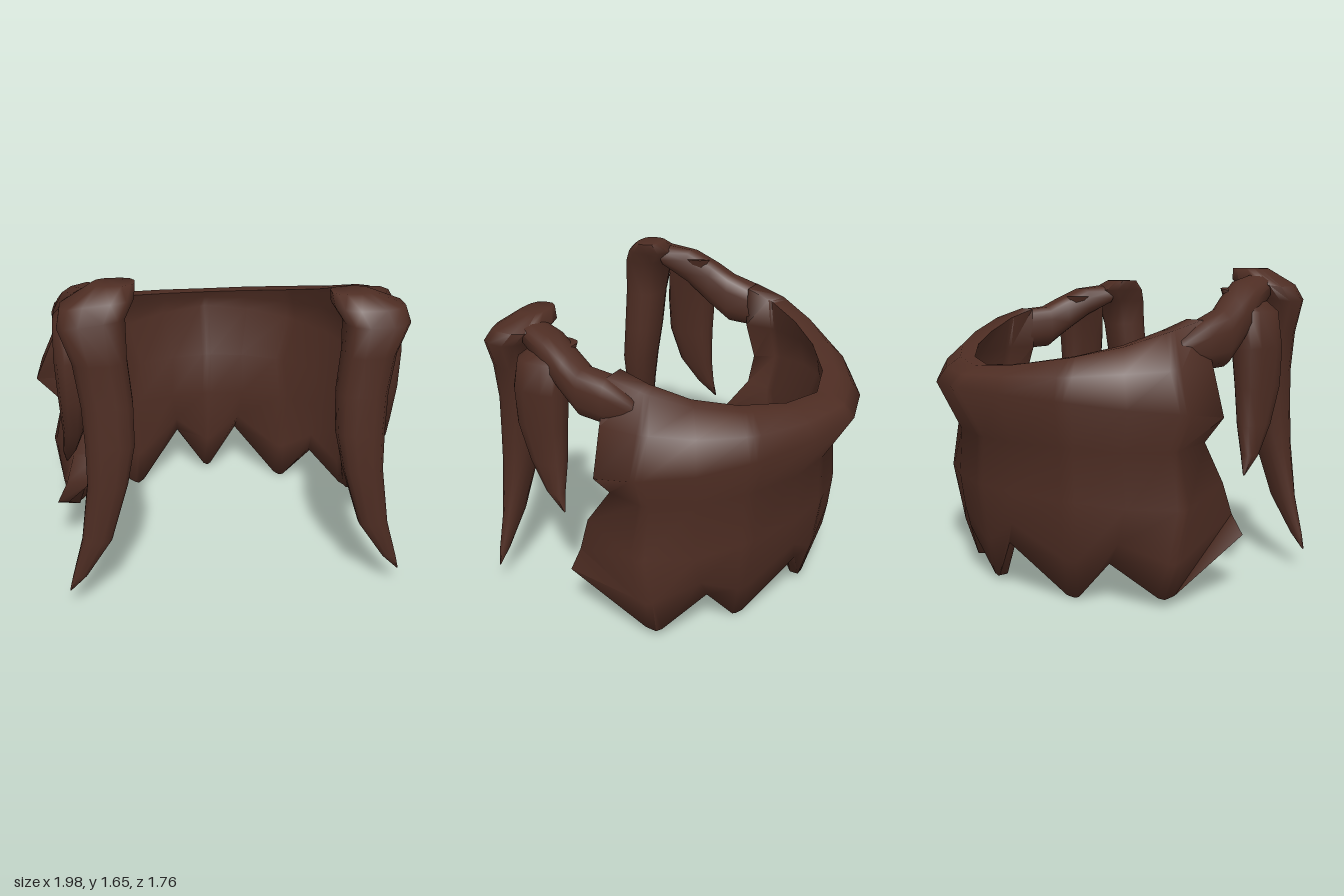
import * as THREE from 'three';
import { toCreasedNormals } from 'three/addons/utils/BufferGeometryUtils.js';

const { lerp, smoothstep } = THREE.MathUtils;
const brown = new THREE.MeshStandardMaterial({ color: 0x4e2d23 });
brown.name = 'dark brown hair';

// Closed solid through equal-length loops of [x, y, z]; ends are strip-capped.
function loft(rings, crease) {
  const n = rings[0].length, pos = rings.flat(2), idx = [];
  const quad = (a, b, c, d) => idx.push(a, b, c, a, c, d);
  for (let r = 0; r < rings.length - 1; r++)
    for (let i = 0; i < n; i++) {
      const k = (i + 1) % n;
      quad(r * n + i, r * n + k, (r + 1) * n + k, (r + 1) * n + i);
    }
  const last = (rings.length - 1) * n;
  for (let i = 0; i < n / 2 - 1; i++) {
    quad(n - 1 - i, n - 2 - i, i + 1, i);
    quad(last + i, last + i + 1, last + n - 2 - i, last + n - 1 - i);
  }
  // Turn the faces outward if the loops ran the other way.
  let volume = 0;
  const p = i => new THREE.Vector3().fromArray(pos, i * 3);
  for (let i = 0; i < idx.length; i += 3) volume += p(idx[i]).dot(p(idx[i + 1]).cross(p(idx[i + 2])));
  if (volume < 0) idx.reverse();
  const g = new THREE.BufferGeometry();
  g.setAttribute('position', new THREE.Float32BufferAttribute(pos, 3));
  g.setIndex(idx);
  return toCreasedNormals(g, crease);
}

function part(name, geometry) {
  const m = new THREE.Mesh(geometry, brown);
  m.name = name;
  return m;
}

// Half-shell guide points from the centre back to the front edge, one line per level.
const levels = [
  [[0, 1.17, -.74], [.26, 1.19, -.68], [.52, 1.235, -.52], [.7, 1.29, -.33], [.8, 1.36, -.12], [.82, 1.41, .07]],
  [[0, 1.13, -.82], [.29, 1.14, -.75], [.58, 1.15, -.59], [.78, 1.17, -.39], [.88, 1.18, -.15], [.89, 1.18, .08]],
  [[0, 1.07, -.88], [.31, 1.06, -.8], [.62, 1.04, -.63], [.84, 1.01, -.42], [.97, .98, -.16], [.99, .95, .06]],
  [[0, .8, -.72], [.26, .8, -.68], [.53, .8, -.55], [.74, .79, -.37], [.86, .78, -.13], [.86, .81, .06]],
  [[0, .55, -.73], [.27, .55, -.69], [.57, .54, -.57], [.8, .52, -.39], [.93, .5, -.13], [.81, .57, .24]],
  [[0, .03, -.62], [.2, .27, -.67], [.48, .01, -.46], [.66, .22, -.38], [.86, .05, -.19], [.91, .31, .29]],
];
// Wall thickness per level at the back and at the front edge; the crown is hollow inside.
const thickness = [[.07, .12], [.13, .18], [.18, .2], [.16, .15], [.18, .14], [.15, .14], [.05, .06]];
const facing = [0, .3, .65, .95, 1.25, 1.55];

// Loop around the wall thickness at column t (0 = back, 5 = front edge).
function column(t, side) {
  const j = Math.min(4, Math.floor(t)), f = t - j;
  const outer = levels.map((row, k) => row[j].map((v, c) =>
    lerp(v, row[j + 1][c], k === 5 && c === 1 ? smoothstep(f, 0, 1) : f)));
  const [hip, tip] = [outer[4], outer[5]];
  outer.splice(5, 0, hip.map((v, c) => lerp(v, tip[c], c === 1 ? .6 : .45)));
  const a = lerp(facing[j], facing[j + 1], f);
  const inner = outer.map(([x, y, z], k) => {
    const w = lerp(...thickness[k], t / 5);
    return [x - Math.sin(a) * w, y, z + Math.cos(a) * w];
  });
  return [...outer, ...inner.reverse()].map(([x, y, z]) => [x * side, y, z]);
}

function hairShell() {
  const ts = [.12, 1, 1.88, 2, 2.12, 3, 3.88, 4, 4.12, 5];
  return loft([
    ...ts.slice().reverse().map(t => column(t, -1)),
    column(0, 1),
    ...ts.map(t => column(t, 1)),
  ], 1.6);
}

// Rounded-square loop; axis 'y' lies flat, axis 'z' stands upright.
function oval(axis, along, cx, c2, rx, r2) {
  const soft = v => Math.sign(v) * Math.abs(v) ** .75;
  return Array.from({ length: 12 }, (_, i) => {
    const a = (i + .5) / 12 * Math.PI * 2;
    const x = cx + soft(Math.cos(a)) * rx, w = c2 + soft(Math.sin(a)) * r2;
    return axis === 'y' ? [x, along, w] : [x, w, along];
  });
}

// Sections: [position along axis, centre x, other centre, radius x, other radius]
const strap = [
  [-.08, .8, 1.275, .04, .05], [.07, .795, 1.285, .092, .122], [.22, .785, 1.295, .09, .125],
  [.32, .76, 1.36, .1, .11], [.45, .72, 1.44, .11, .09], [.6, .67, 1.49, .1, .06]];
const frontLock = [
  [1.58, .56, .66, .1, .07], [1.52, .64, .68, .175, .13], [1.45, .67, .735, .16, .12],
  [1.3, .64, .745, .13, .11], [1.1, .615, .755, .125, .105], [.9, .61, .78, .12, .095],
  [.7, .63, .8, .1, .08], [.4, .695, .825, .075, .045], [.2, .79, .838, .035, .02], [.12, .84, .84, .004, .004]];
const sideLock = [
  [1.48, .69, .44, .07, .1], [1.41, .75, .48, .11, .14], [1.25, .775, .5, .09, .15], [1.05, .78, .505, .075, .14],
  [.85, .79, .475, .055, .105], [.7, .82, .42, .035, .05], [.6, .84, .36, .004, .004]];

export function createModel() {
  const group = new THREE.Group();
  group.name = 'hair';
  group.add(part('backHair', hairShell()));

  for (const [side, label, lift] of [[1, 'left', 0], [-1, 'right', .08]]) {
    // The right side sits slightly higher at the temple, most of all toward the middle.
    const raise = (x, y, z) => y + lift * smoothstep(y, 1.2, 1.5) * smoothstep(z, .05, .25) * (1 - .6 * smoothstep(x, .62, .9));
    const build = (name, axis, rows) => {
      const rings = rows.map(r => oval(axis, ...r).map(([x, y, z]) => [x * side, raise(x, y, z), z]));
      group.add(part(label + name, loft(rings, 1.3)));
    };
    build('TempleStrap', 'z', strap);
    build('FrontLock', 'y', frontLock);
    build('SideLock', 'y', sideLock);
  }
  return group;
}
